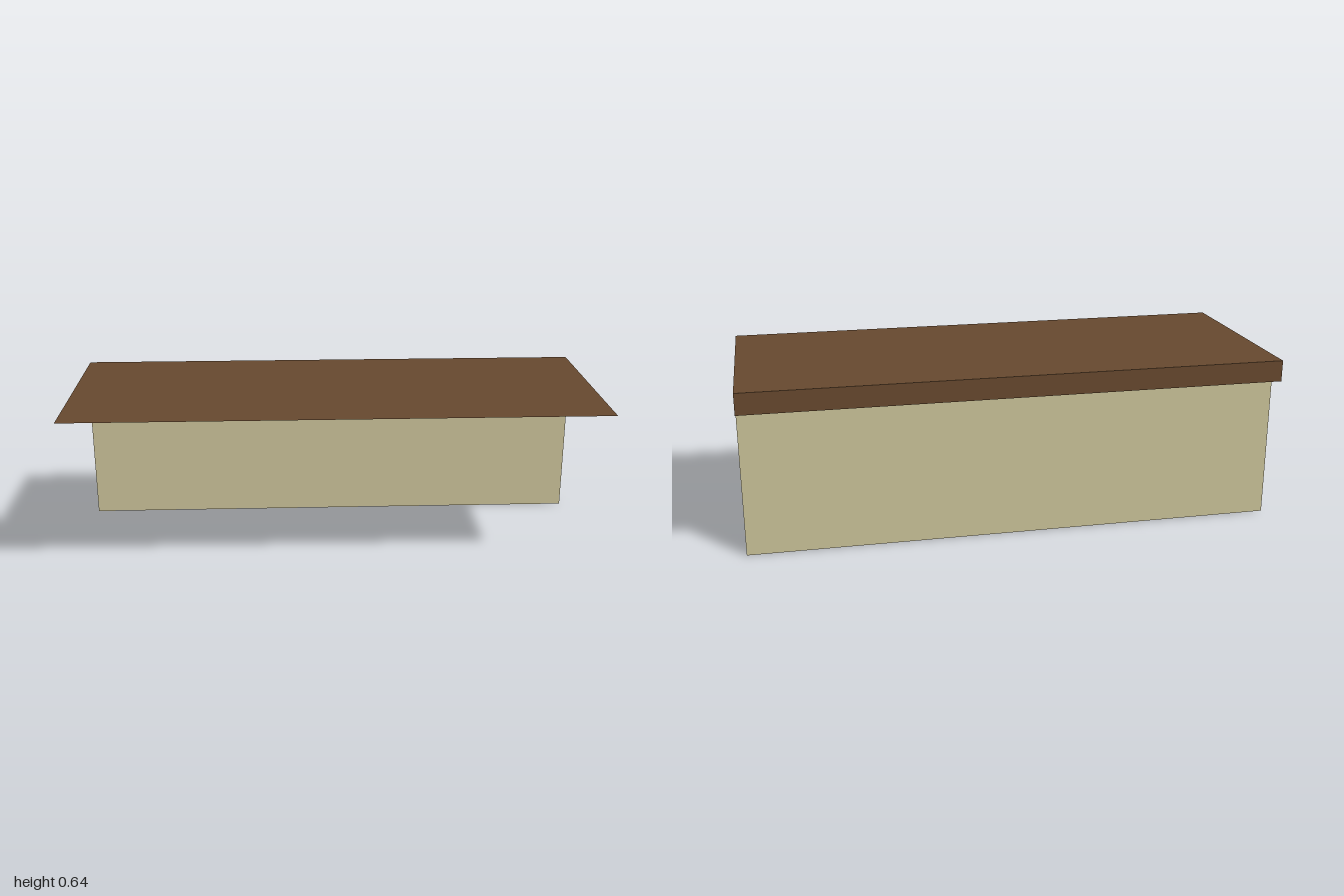
import * as THREE from 'three';

const WIDTH = 2;
const TOP_Y = 0.64, LIP_Y = 0.56;
const FRONT_Z = 0.4, BACK_Z = -0.4, WALL_Z = -0.32;

export function createModel() {
  const group = new THREE.Group();

  const brown = new THREE.MeshStandardMaterial({ color: 0x66482e, side: THREE.DoubleSide });
  brown.name = 'brown wood';
  const cream = new THREE.MeshStandardMaterial({ color: 0xc9c198, side: THREE.DoubleSide });
  cream.name = 'cream panel';

  // Full-width sheet spanning two (y, z) edges, either flat or upright
  function sheet(name, material, y0, z0, y1, z1) {
    const geometry = new THREE.PlaneGeometry(WIDTH, Math.hypot(y1 - y0, z1 - z0));
    if (y0 === y1) geometry.rotateX(-Math.PI / 2);
    else if (z0 < WALL_Z) geometry.rotateY(Math.PI);
    const mesh = new THREE.Mesh(geometry, material);
    mesh.position.set(0, (y0 + y1) / 2, (z0 + z1) / 2);
    mesh.name = name;
    group.add(mesh);
    return mesh;
  }

  // Broad flat top
  sheet('top', brown, TOP_Y, BACK_Z, TOP_Y, FRONT_Z);
  // Back edge folding down, then returning in to the panel
  sheet('backLip', brown, LIP_Y, BACK_Z, TOP_Y, BACK_Z);
  sheet('lipUnderside', brown, LIP_Y, BACK_Z, LIP_Y, WALL_Z).rotation.x = Math.PI;
  // Upright panel below
  sheet('panel', cream, 0, WALL_Z, LIP_Y, WALL_Z);

  return group;
}
